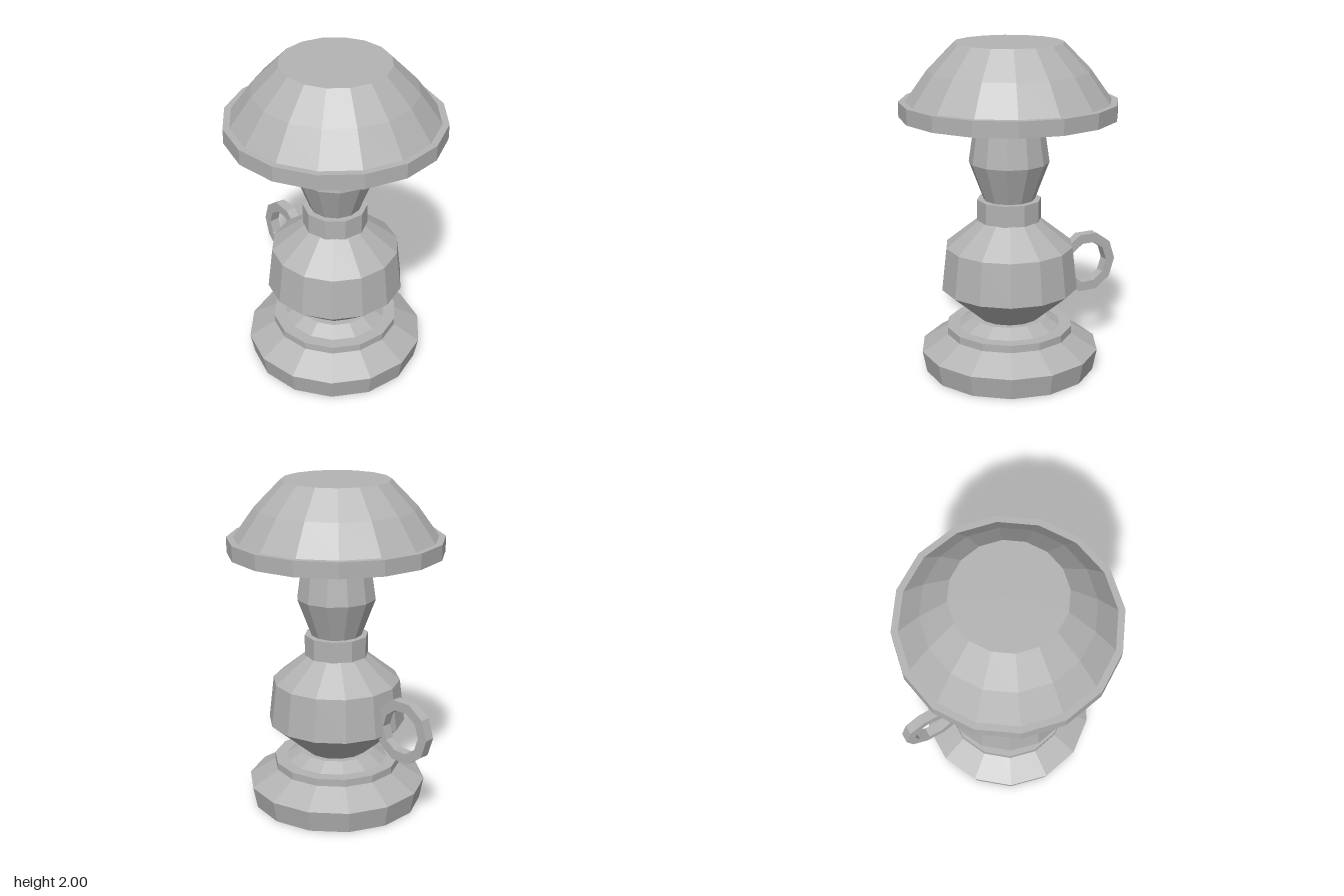
import * as THREE from 'three';

// Faceted solid of revolution; the profile runs from bottom to top on the outside.
function turned(name, profile, sides, material) {
  const points = profile.map(([r, y]) => new THREE.Vector2(r, y));
  const geometry = new THREE.LatheGeometry(points, sides, Math.PI / 2).toNonIndexed();
  geometry.computeVertexNormals();
  const mesh = new THREE.Mesh(geometry, material);
  mesh.name = name;
  return mesh;
}

// Closed rectangular band between two radii and two heights.
const band = (inner, outer, y0, y1) => [[inner, y0], [outer, y0], [outer, y1], [inner, y1], [inner, y0]];

export function createModel() {
  const grey = new THREE.MeshStandardMaterial({ color: 0xb3b3b3 });
  grey.name = 'plain grey';

  const model = new THREE.Group();
  model.name = 'oilLamp';

  // Upright parts share one axis, slightly forward of the centre
  const lamp = new THREE.Group();
  lamp.name = 'lamp';
  lamp.position.z = 0.047;
  lamp.add(
    turned('base', [[0, 0], [0.52, 0], [0.546, 0.132], [0.23, 0.325], [0, 0.325]], 14, grey),
    turned('baseCollar', [[0, 0.227], [0.386, 0.227], [0.386, 0.275], [0, 0.275]], 14, grey),
    turned('reservoir', [[0, 0.32], [0.185, 0.32], [0.417, 0.52], [0.387, 0.78], [0.188, 0.94], [0, 0.94]], 14, grey),
    turned('burnerRing', [[0, 0.938], [0.194, 0.938], [0.194, 1.066], [0, 1.066]], 10, grey),
    turned('chimney', [[0, 1.06], [0.152, 1.06], [0.24, 1.293], [0.2, 1.57], [0.19, 1.64], [0, 1.64]], 12, grey),
    turned('shade', [[0, 1.61], [0.6, 1.61], [0.607, 1.66], [0.478, 1.84], [0.322, 2], [0, 2]], 16, grey),
    turned('shadeRim', band(0.575, 0.645, 1.57, 1.662), 16, grey)
  );
  model.add(lamp);

  // Finger ring standing upright behind the reservoir
  const handle = turned('handle', band(0.133, 0.195, -0.031, 0.031), 10, grey);
  handle.geometry.rotateY(Math.PI / 2);
  handle.geometry.rotateZ(Math.PI / 2);
  handle.position.set(0, 0.585, -0.495);
  model.add(handle);

  return model;
}
